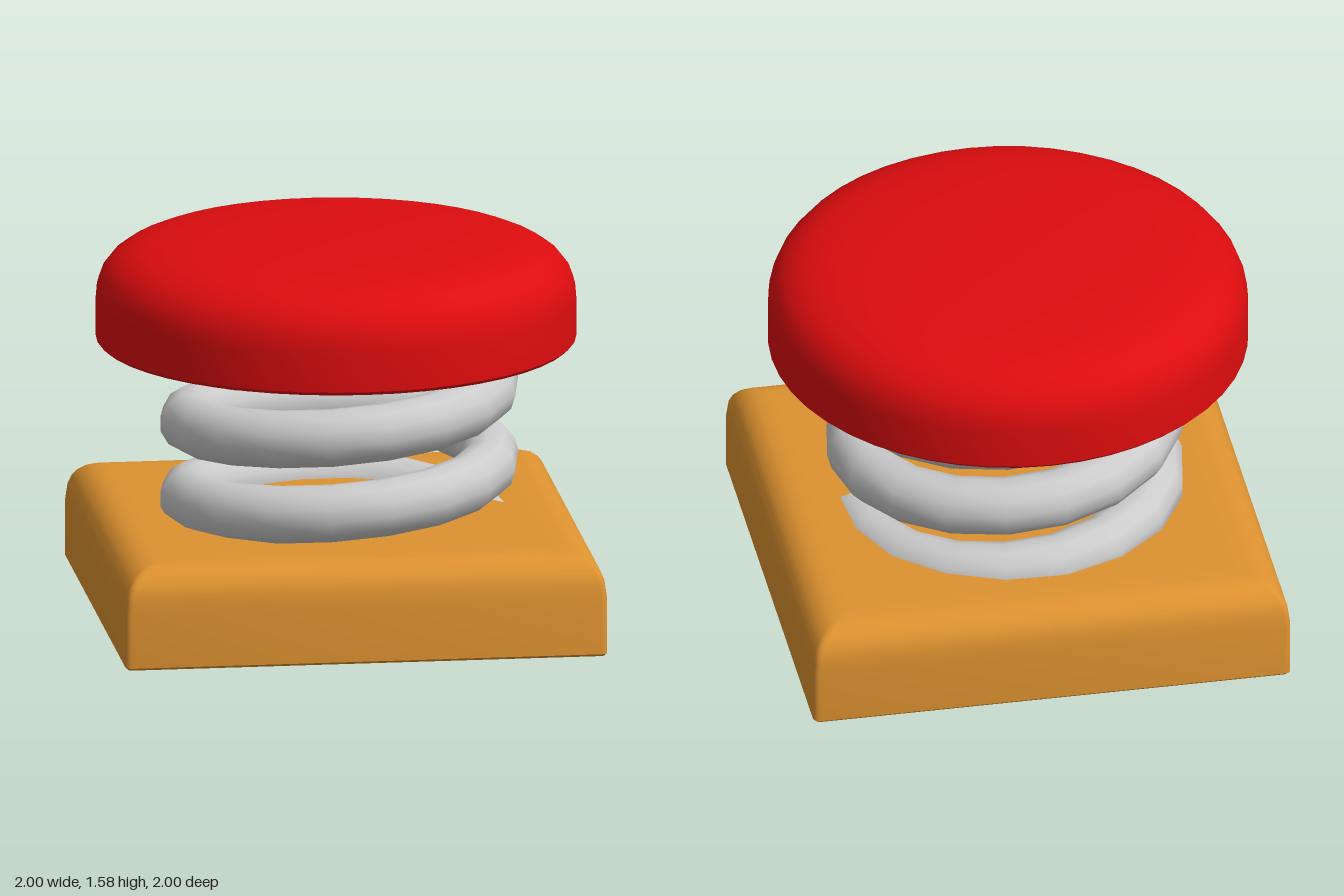
import * as THREE from 'three';
import { toCreasedNormals } from 'three/addons/utils/BufferGeometryUtils.js';

const paint = (color) => new THREE.MeshStandardMaterial({ color });

function part(name, geometry, material) {
  const mesh = new THREE.Mesh(geometry, material);
  mesh.name = name;
  return mesh;
}

// Square outline with small rounded corners, running from +x towards -z
function squareRing(half, corner, y, steps = 3) {
  const ring = [];
  for (let q = 0; q < 4; q++) {
    const mid = Math.PI / 4 + q * Math.PI / 2;
    const cx = Math.sign(Math.cos(mid)) * (half - corner);
    const cz = -Math.sign(Math.sin(mid)) * (half - corner);
    for (let i = 0; i <= steps; i++) {
      const a = q * Math.PI / 2 + (i / steps) * Math.PI / 2;
      ring.push([cx + corner * Math.cos(a), y, cz - corner * Math.sin(a)]);
    }
  }
  return ring;
}

// Skin over rings stacked from bottom to top, closed at both ends
function loft(rings) {
  const n = rings[0].length;
  const points = rings.flat();
  const index = [];
  for (let r = 0; r < rings.length - 1; r++) {
    for (let i = 0; i < n; i++) {
      const a = r * n + i, b = r * n + (i + 1) % n;
      index.push(a, b, b + n, a, b + n, a + n);
    }
  }
  const last = (rings.length - 1) * n;
  for (let i = 1; i < n - 1; i++) {
    index.push(0, i + 1, i);
    index.push(last, last + i, last + i + 1);
  }
  const geometry = new THREE.BufferGeometry();
  geometry.setAttribute('position', new THREE.Float32BufferAttribute(points.flat(), 3));
  geometry.setIndex(index);
  return toCreasedNormals(geometry, 0.7);
}

// Spring path, rising anticlockwise as seen from above
class Helix extends THREE.Curve {
  constructor(radius, y0, pitch, turns) {
    super();
    Object.assign(this, { radius, y0, pitch, turns });
  }
  getPoint(t, target = new THREE.Vector3()) {
    const a = t * this.turns * Math.PI * 2;
    return target.set(
      this.radius * Math.cos(a) + 0.01,
      this.y0 + this.pitch * this.turns * t,
      -this.radius * Math.sin(a) + 0.015
    );
  }
}

export function createModel() {
  const group = new THREE.Group();
  group.name = 'springButton';

  // Base: square block with a generously rounded top edge
  const rings = [squareRing(0.99, 0.02, 0), squareRing(1, 0.025, 0.01), squareRing(1, 0.025, 0.24)];
  for (let i = 0; i <= 6; i++) {
    const a = (i / 6) * Math.PI / 2;
    rings.push(squareRing(0.86 + 0.135 * Math.cos(a), 0.025, 0.28 + 0.14 * Math.sin(a)));
  }
  rings.push(squareRing(0.8, 0.025, 0.42));
  group.add(part('base', loft(rings), paint(0xdd9230)));

  // Coil spring, with its ends buried in the base and the cap
  const helix = new Helix(0.625, 0.28, 0.32, 3);
  helix.y0 = 0.32;
  group.add(part('spring', new THREE.TubeGeometry(helix, 54, 0.12, 12, false), paint(0xcccccc)));

  // Cap: round cushion with straight sides and a soft, slightly domed top
  const profile = [
    [0, 1.135], [0.975, 1.135], [0.99, 1.15], [0.99, 1.31], [0.985, 1.37], [0.965, 1.425],
    [0.93, 1.47], [0.88, 1.505], [0.82, 1.53], [0.74, 1.548], [0.62, 1.562], [0.42, 1.574], [0, 1.578],
  ].map(([r, y]) => new THREE.Vector2(r, y));
  const cap = toCreasedNormals(new THREE.LatheGeometry(profile, 48), 0.6);
  group.add(part('cap', cap, paint(0xdd0c0e)));

  return group;
}
